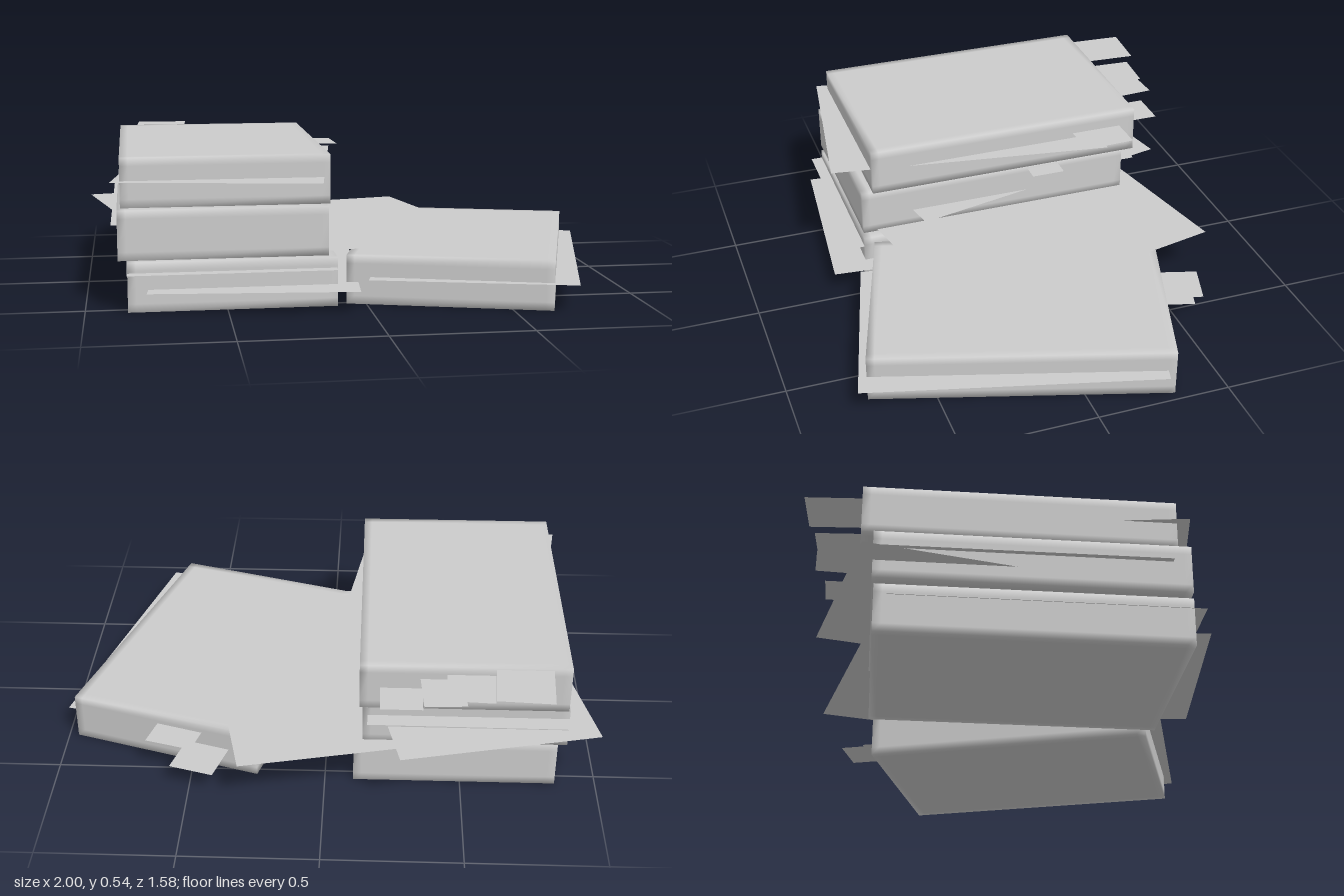
import * as THREE from 'three';
import { mergeVertices } from 'three/addons/utils/BufferGeometryUtils.js';

const W = 0.745, L = 1.092; // paper width and length

// Box with support loops near its edges and soft shared normals
function softBlock(w, h, d, inset) {
  let geo = new THREE.BoxGeometry(w, h, d, 3, 3, 3);
  const p = geo.attributes.position;
  const push = (v, size) => Math.abs(v) < size / 2 - 1e-5
    ? Math.sign(v) * (size / 2 - inset) : v;
  for (let i = 0; i < p.count; i++) {
    p.setXYZ(i, push(p.getX(i), w), push(p.getY(i), h), push(p.getZ(i), d));
  }
  geo.deleteAttribute('normal');
  geo.deleteAttribute('uv');
  geo = mergeVertices(geo);
  geo.computeVertexNormals();
  return geo;
}

export function createModel() {
  const model = new THREE.Group();
  model.name = 'paperStacks';
  const paper = new THREE.MeshStandardMaterial({ color: 0xcccccc, side: THREE.DoubleSide });
  paper.name = 'paperGrey';

  const add = (name, geo, x, y, z, turn = 0) => {
    const mesh = new THREE.Mesh(geo, paper);
    mesh.name = name;
    mesh.position.set(x, y, z);
    mesh.rotation.y = turn;
    model.add(mesh);
  };
  const flat = (w, d) => new THREE.PlaneGeometry(w, d).rotateX(-Math.PI / 2);

  // Thick stacks: x, bottom, z, turn
  const block = softBlock(W, 0.178, L, 0.03);
  const stacks = [
    ['bottomStack', -0.478, 0, 0, 0],
    ['middleStack', -0.51, 0.184, -0.007, 0],
    ['topStack', -0.498, 0.364, -0.05, 0],
    ['sideStack', 0.447, 0, 0.103, -0.302],
  ];
  for (const [name, x, y, z, turn] of stacks) add(name, block, x, y + 0.089, z, turn);

  // Loose full-size sheets poking out of the stacks: x, y, z, turn
  const sheet = flat(W, L);
  const sheets = [
    [-0.363, 0.08, 0.107, -0.094],
    [-0.481, 0.14, 0.045, 0],
    [0.059, 0.19, -0.118, 0.216],
    [-0.518, 0.25, -0.138, 0.22],
    [-0.53, 0.3, -0.07, -0.005],
    [-0.457, 0.46, 0.051, -0.149],
    [0.5, 0.1, 0.162, -0.263],
  ];
  for (const [x, y, z, turn] of sheets) add('looseSheet', sheet, x, y, z, turn);

  // Small marker tabs: width, depth, x, y, z, turn
  const tabs = [
    [0.2, 0.25, -0.7, 0.535, -0.667, -0.06],
    [0.17, 0.22, -0.515, 0.51, -0.65, -0.06],
    [0.15, 0.22, -0.418, 0.49, -0.652, 0.06],
    [0.15, 0.22, -0.273, 0.45, -0.618, 0],
    [0.22, 0.2, -0.1, 0.48, -0.433, 0.03],
    [0.16, 0.13, -0.15, 0.347, -0.21, 0],
    [0.17, 0.24, 0.455, 0.085, -0.512, -0.29],
    [0.18, 0.2, 0.553, 0.137, -0.447, -0.28],
  ];
  for (const [w, d, x, y, z, turn] of tabs) add('markerTab', flat(w, d), x, y, z, turn);

  return model;
}
